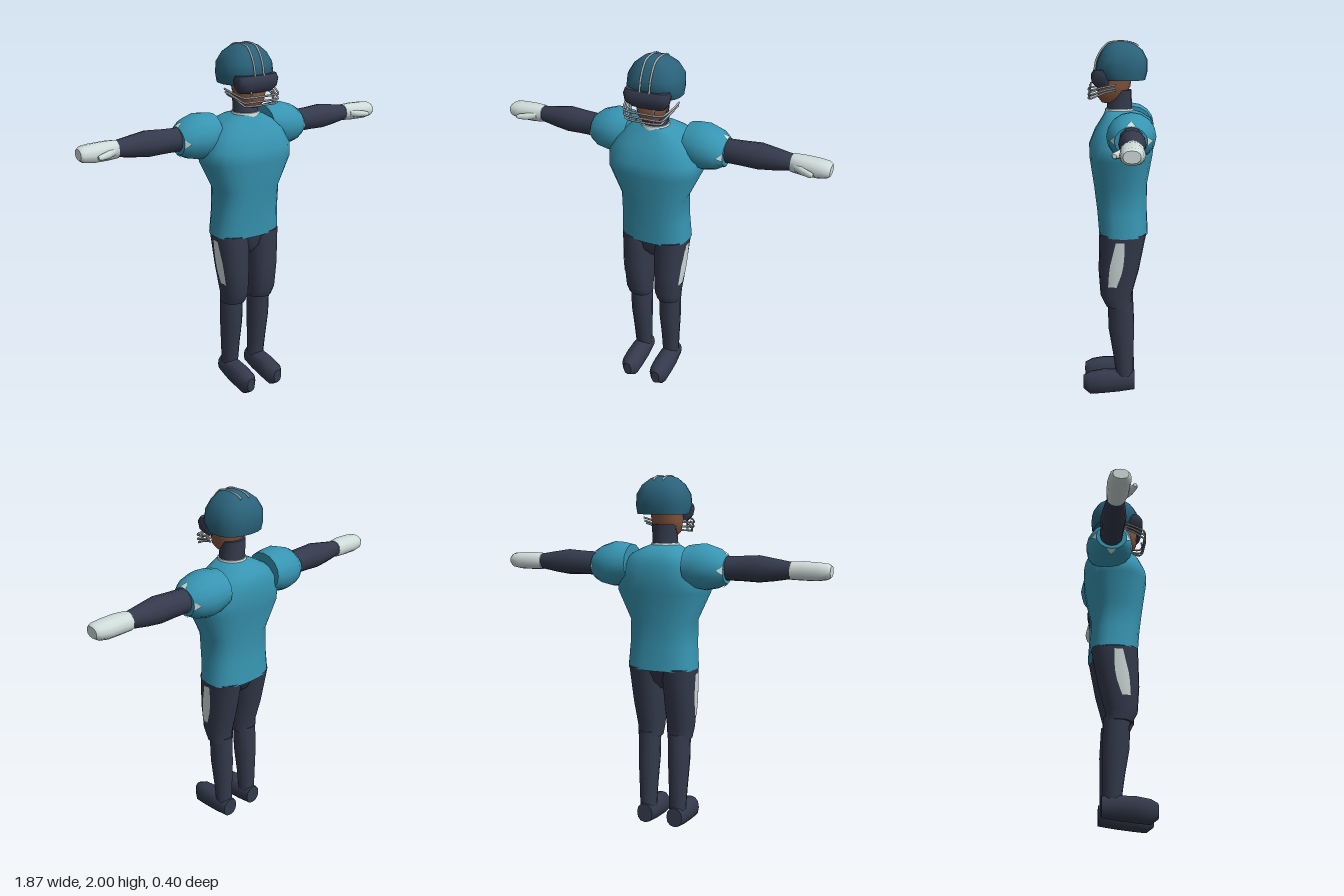
import * as THREE from 'three';

const mat = (name, color, side = THREE.FrontSide) => {
  const m = new THREE.MeshStandardMaterial({ color, side });
  m.name = name;
  return m;
};

// Loft of superellipse rings [t, uMin, uMax, vMin, vMax], t ascending, with capped ends.
// Axis x: u=y, v=z.  Axis y: u=z, v=x.  Axis z: u=x, v=y.
function loft(axis, rings, n = 16, e = 2) {
  const pos = [], idx = [];
  const put = (t, u, v) => pos.push(...(axis === 'x' ? [t, u, v] : axis === 'y' ? [v, t, u] : [u, v, t]));
  const pw = (c) => Math.sign(c) * Math.pow(Math.abs(c), 2 / e);
  const ring = ([t, u0, u1, v0, v1]) => {
    const start = pos.length / 3;
    for (let j = 0; j < n; j++) {
      const a = (j / n) * Math.PI * 2;
      put(t, (u0 + u1) / 2 + pw(Math.cos(a)) * (u1 - u0) / 2, (v0 + v1) / 2 + pw(Math.sin(a)) * (v1 - v0) / 2);
    }
    return start;
  };
  const starts = rings.map(ring);
  for (let i = 0; i < rings.length - 1; i++) {
    for (let j = 0; j < n; j++) {
      const k = (j + 1) % n, a = starts[i], b = starts[i + 1];
      idx.push(a + j, a + k, b + k, a + j, b + k, b + j);
    }
  }
  [[rings[0], false], [rings[rings.length - 1], true]].forEach(([r, top]) => {
    const s = ring(r), c = pos.length / 3;
    put(r[0], (r[1] + r[2]) / 2, (r[3] + r[4]) / 2);
    for (let j = 0; j < n; j++) {
      const k = (j + 1) % n;
      idx.push(c, s + (top ? j : k), s + (top ? k : j));
    }
  });
  return build(pos, idx);
}

function build(pos, idx) {
  const g = new THREE.BufferGeometry();
  g.setAttribute('position', new THREE.Float32BufferAttribute(pos, 3));
  g.setIndex(idx);
  g.computeVertexNormals();
  return g;
}

// Copy reflected in x with the winding turned round
function mirror(geo) {
  const p = Array.from(geo.attributes.position.array, (v, i) => (i % 3 === 0 ? -v : v));
  const src = geo.index.array, idx = [];
  for (let i = 0; i < src.length; i += 3) idx.push(src[i], src[i + 2], src[i + 1]);
  return build(p, idx);
}

function tube(points, r) {
  const curve = new THREE.CatmullRomCurve3(points.map((p) => new THREE.Vector3(...p)), false, 'catmullrom', 0.25);
  return new THREE.TubeGeometry(curve, points.length > 2 ? 24 : 1, r, 6);
}

export function createModel() {
  const model = new THREE.Group();
  model.name = 'footballPlayer';
  const jersey = mat('jersey teal', 0x3795b2);
  const shell = mat('helmet teal', 0x2a627a);
  const navy = mat('navy', 0x343a4c);
  const white = mat('glove white', 0xcfdcda, THREE.DoubleSide);
  const grey = mat('mask grey', 0xa4a9ac);
  const skin = mat('skin', 0x85563f);

  const add = (name, geo, m) => {
    const mesh = new THREE.Mesh(geo, m);
    mesh.name = name;
    model.add(mesh);
  };
  const pair = (name, geo, m) => {
    add(name + 'Left', geo, m);
    add(name + 'Right', mirror(geo), m);
  };

  // Torso, hips and collar
  add('jerseyBody', loft('y', [
    [0.95, -0.165, 0.11, -0.2, 0.2],
    [1.08, -0.158, 0.12, -0.19, 0.19],
    [1.22, -0.158, 0.137, -0.187, 0.187],
    [1.38, -0.187, 0.16, -0.262, 0.262],
    [1.45, -0.196, 0.162, -0.258, 0.258],
    [1.53, -0.196, 0.13, -0.222, 0.222],
    [1.585, -0.175, 0.095, -0.165, 0.165],
    [1.615, -0.13, 0.078, -0.11, 0.11],
    [1.63, -0.082, 0.07, -0.076, 0.076],
  ], 24, 2.5), jersey);
  add('hips', loft('y', [
    [0.83, -0.05, 0.04, -0.03, 0.03],
    [0.88, -0.11, 0.085, -0.08, 0.08],
    [0.96, -0.145, 0.095, -0.18, 0.18],
  ]), navy);
  add('collar', loft('y', [
    [1.612, -0.088, 0.077, -0.082, 0.082],
    [1.64, -0.08, 0.072, -0.076, 0.076],
  ], 20), white);

  // Head and neck
  add('neck', loft('y', [
    [1.6, -0.076, 0.068, -0.072, 0.072],
    [1.67, -0.073, 0.062, -0.07, 0.07],
    [1.74, -0.07, 0.02, -0.068, 0.068],
  ]), navy);
  add('head', loft('y', [
    [1.672, 0, 0.09, -0.045, 0.045],
    [1.7, -0.03, 0.112, -0.07, 0.07],
    [1.76, -0.065, 0.118, -0.086, 0.086],
    [1.9, -0.08, 0.09, -0.086, 0.086],
  ], 14, 2.3), skin);

  // Helmet with visor, crown stripes and face mask
  add('helmet', loft('y', [
    [1.795, -0.145, 0.085, -0.14, 0.14],
    [1.84, -0.157, 0.125, -0.149, 0.149],
    [1.9, -0.156, 0.115, -0.145, 0.145],
    [1.95, -0.13, 0.09, -0.115, 0.115],
    [1.985, -0.085, 0.06, -0.07, 0.07],
    [1.996, -0.045, 0.025, -0.035, 0.035],
  ], 18, 2.4), shell);
  add('visor', loft('y', [
    [1.757, 0.05, 0.118, -0.095, 0.095],
    [1.785, 0.045, 0.145, -0.118, 0.118],
    [1.825, 0.045, 0.148, -0.126, 0.126],
    [1.85, 0.05, 0.132, -0.12, 0.12],
  ], 20, 3.5), navy);
  for (const x of [-0.027, 0.027]) {
    add('crownStripe', tube([[x, 1.84, 0.13], [x, 1.9, 0.119], [x, 1.953, 0.091], [x, 1.986, 0.058],
      [x, 1.995, 0.02], [x, 1.995, -0.04], [x, 1.984, -0.085], [x, 1.972, -0.105]], 0.006), grey);
  }
  const bars = [[1.775, 0.14, 1.745, 0.11], [1.758, 0.135, 1.72, 0.108], [1.745, 0.125, 1.7, 0.1]];
  for (const [yBack, xBack, yFront, xFront] of bars) {
    const half = [[xBack, yBack, 0.01], [xBack - 0.006, yBack - 0.012, 0.07], [xFront, yFront, 0.145], [xFront * 0.6, yFront, 0.16]];
    add('maskBar', tube([...half, ...half.map(([x, y, z]) => [-x, y, z]).reverse()], 0.0055), grey);
  }
  for (const x of [-0.065, 0.065]) add('maskUpright', tube([[x, 1.775, 0.152], [x, 1.698, 0.16]], 0.006), grey);

  // Sleeves, arms and gloves
  pair('sleeve', loft('x', [
    [0.165, 1.43, 1.633, -0.19, 0.04],
    [0.215, 1.405, 1.642, -0.197, 0.055],
    [0.27, 1.397, 1.645, -0.2, 0.06],
    [0.34, 1.412, 1.622, -0.185, 0.047],
    [0.385, 1.437, 1.585, -0.153, 0.015],
  ]), jersey);
  pair('arm', loft('x', [
    [0.36, 1.455, 1.583, -0.132, -0.008],
    [0.47, 1.455, 1.587, -0.137, -0.007],
    [0.56, 1.452, 1.593, -0.143, -0.006],
    [0.64, 1.462, 1.58, -0.135, -0.018],
    [0.735, 1.478, 1.564, -0.12, -0.035],
  ], 12), navy);
  pair('glove', loft('x', [
    [0.73, 1.474, 1.567, -0.126, -0.03],
    [0.79, 1.472, 1.57, -0.132, -0.017],
    [0.87, 1.472, 1.567, -0.135, -0.015],
    [0.918, 1.48, 1.562, -0.127, -0.02],
    [0.935, 1.492, 1.55, -0.113, -0.032],
  ], 12, 2.3), white);
  pair('thumb', loft('x', [
    [0.755, 1.498, 1.54, -0.065, -0.02],
    [0.8, 1.493, 1.535, -0.035, 0.003],
    [0.845, 1.497, 1.53, -0.012, 0.02],
    [0.862, 1.503, 1.523, -0.004, 0.016],
  ], 8), white);

  // Pointed marks around each cuff
  const marks = [], markIdx = [];
  for (let k = 0; k < 4; k++) {
    const at = (x, a, ry, rz) => marks.push(x, 1.513 + Math.cos(a) * ry, -0.069 + Math.sin(a) * rz);
    const a = k * Math.PI / 2;
    at(0.386, a - 0.28, 0.079, 0.089);
    at(0.386, a + 0.28, 0.079, 0.089);
    at(0.358, a, 0.1, 0.111);
    markIdx.push(k * 3, k * 3 + 2, k * 3 + 1);
  }
  pair('cuffMark', build(marks, markIdx), white);

  // Legs and feet
  const thigh = [
    [0.54, -0.075, 0.07, 0.02, 0.16],
    [0.6, -0.075, 0.1, 0.015, 0.167],
    [0.75, -0.115, 0.11, 0.008, 0.182],
    [0.96, -0.155, 0.105, 0, 0.195],
  ];
  pair('thigh', loft('y', thigh, 16, 2.2), navy);
  pair('calf', loft('y', [
    [0.12, -0.085, 0.012, 0.042, 0.14],
    [0.25, -0.087, 0.03, 0.038, 0.146],
    [0.4, -0.09, 0.055, 0.03, 0.154],
    [0.57, -0.082, 0.06, 0.028, 0.156],
  ], 12), navy);
  pair('shoe', loft('z', [
    [-0.093, 0.045, 0.14, 0.03, 0.142],
    [0, 0.036, 0.15, 0.016, 0.148],
    [0.09, 0.035, 0.151, 0.006, 0.146],
    [0.16, 0.038, 0.148, 0, 0.133],
    [0.2, 0.068, 0.118, 0.03, 0.113],
  ], 12, 2.3), navy);

  // Curved side panels lying on the thighs
  const thighX = (y, z) => {
    const i = y > 0.75 ? 2 : 1, f = (y - thigh[i][0]) / (thigh[i + 1][0] - thigh[i][0]);
    const [, z0, z1, x0, x1] = thigh[i].map((v, k) => v + (thigh[i + 1][k] - v) * f);
    const s = Math.abs(2 * z - z0 - z1) / (z1 - z0);
    return (x0 + x1) / 2 + (x1 - x0) / 2 * Math.pow(1 - Math.pow(s, 2.2), 1 / 2.2) + 0.004;
  };
  const rows = [[0.67, 0.008, 0.055], [0.75, -0.02, 0.05], [0.8, -0.03, 0.043], [0.86, -0.035, 0.028], [0.928, -0.035, 0.012]];
  const panel = [], panelIdx = [], cols = 4;
  rows.forEach(([y, za, zb], i) => {
    for (let j = 0; j <= cols; j++) {
      const z = za + (zb - za) * j / cols, a = i * (cols + 1) + j, b = a + cols + 1;
      panel.push(thighX(y, z), y, z);
      if (i < rows.length - 1 && j < cols) panelIdx.push(a, b + 1, a + 1, a, b, b + 1);
    }
  });
  pair('thighPanel', build(panel, panelIdx), white);

  return model;
}
